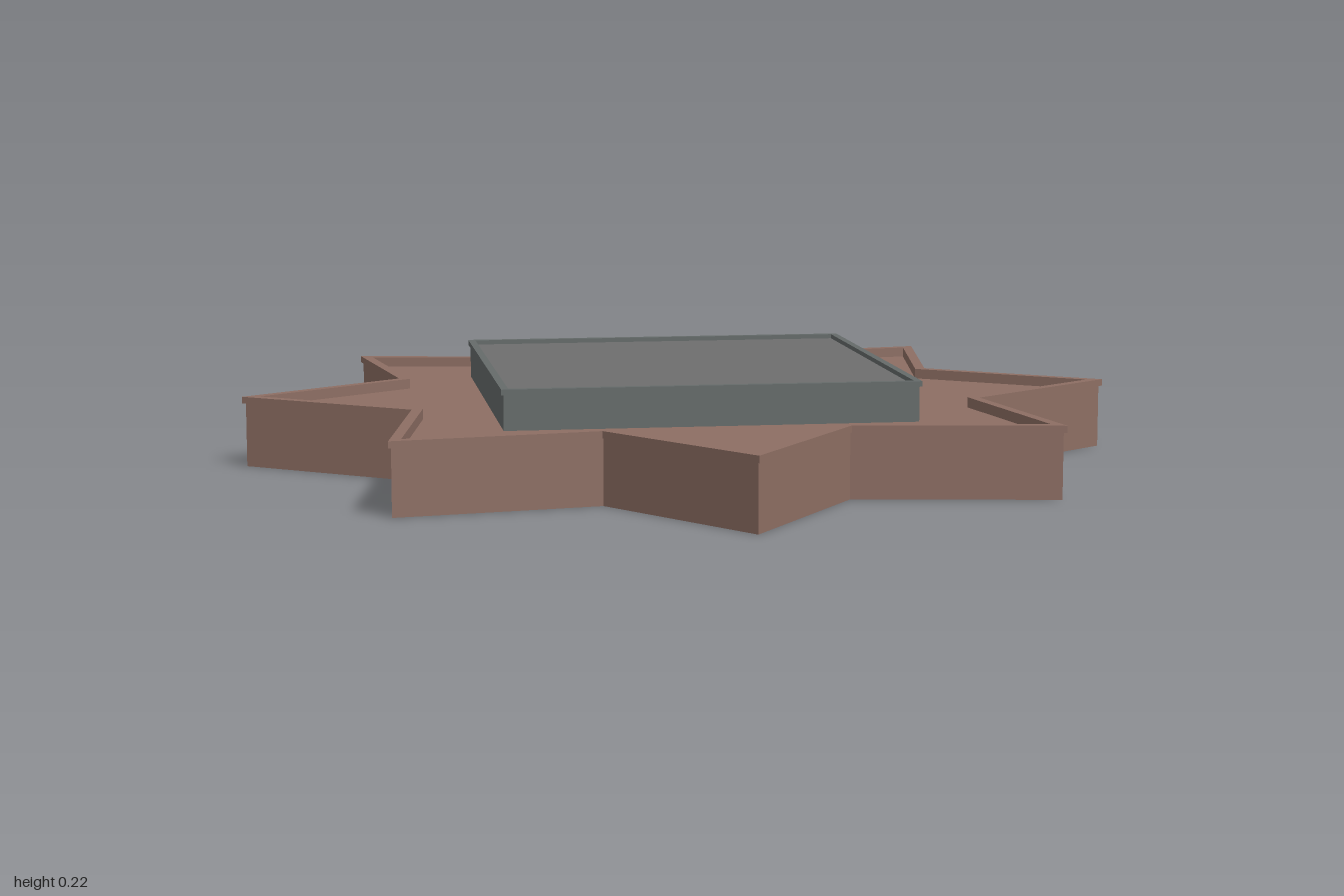
import * as THREE from 'three';

const paint = (name, color) => Object.assign(new THREE.MeshStandardMaterial({ color }), { name });

// Corner list: angle, radius and the mitre (inset along the radius per unit of edge inset)
const starCorners = Array.from({ length: 16 }, (_, i) => ({
  angle: i * Math.PI / 8,
  radius: i % 2 ? 0.687 : 1,
  mitre: i % 2 ? 1 / 0.848 : 1 / 0.58,
}));
const squareCorners = Array.from({ length: 4 }, (_, i) => ({
  angle: i * Math.PI / 2, radius: 0.645, mitre: Math.SQRT2,
}));

// One ring of corners, inset from the outline at a given height
const ring = (corners, [inset, y]) => corners.map(({ angle, radius, mitre }) => {
  const r = radius - inset * mitre;
  return [r * Math.sin(angle), y, r * Math.cos(angle)];
});

function geometryFrom(positions) {
  const g = new THREE.BufferGeometry();
  g.setAttribute('position', new THREE.Float32BufferAttribute(positions.flat(), 3));
  g.computeVertexNormals(); // unshared corners give flat faces
  return g;
}

// Band of flat faces through successive [inset, y] steps, from the bottom outwards
function band(corners, steps) {
  const p = [], n = corners.length;
  const rings = steps.map((s) => ring(corners, s));
  for (let k = 0; k + 1 < rings.length; k++) {
    for (let i = 0; i < n; i++) {
      const j = (i + 1) % n;
      const a = rings[k][i], b = rings[k][j], c = rings[k + 1][j], d = rings[k + 1][i];
      p.push(a, b, c, a, c, d);
    }
  }
  return geometryFrom(p);
}

// Flat cap fanned from the centre
function cap(corners, step, up) {
  const p = [], r = ring(corners, step), n = r.length;
  for (let i = 0; i < n; i++) {
    const a = r[i], b = r[(i + 1) % n];
    p.push([0, step[1], 0], up ? a : b, up ? b : a);
  }
  return geometryFrom(p);
}

export function createModel() {
  const brown = paint('brown', 0x8d6e63);
  const slate = paint('slate grey', 0x656b6a);
  const grey = paint('grey', 0x6e6e6e);
  const model = new THREE.Group();
  model.name = 'starPlinth';

  const add = (parent, name, geometry, material) => {
    const mesh = new THREE.Mesh(geometry, material);
    mesh.name = name;
    parent.add(mesh);
  };

  // Eight-pointed tray with an overhanging lip and sunken floor
  const tray = new THREE.Group();
  tray.name = 'starTray';
  add(tray, 'trayUnderside', cap(starCorners, [0.005, 0], false), brown);
  add(tray, 'trayWall', band(starCorners, [[0.005, 0], [0.005, 0.143]]), brown);
  add(tray, 'trayLip', band(starCorners,
    [[0.005, 0.143], [0, 0.143], [0, 0.158], [0.023, 0.158], [0.023, 0.135]]), brown);
  add(tray, 'trayFloor', cap(starCorners, [0.023, 0.135], true), brown);

  // Diamond slab with a fine lip around its slightly sunken top
  const slab = new THREE.Group();
  slab.name = 'diamondSlab';
  add(slab, 'slabWall', band(squareCorners, [[0.005, 0.135], [0.005, 0.212]]), slate);
  add(slab, 'slabLip', band(squareCorners,
    [[0.005, 0.212], [0, 0.212], [0, 0.224], [0.016, 0.224], [0.016, 0.214]]), slate);
  add(slab, 'slabTop', cap(squareCorners, [0.016, 0.214], true), grey);

  model.add(tray, slab);
  return model;
}
